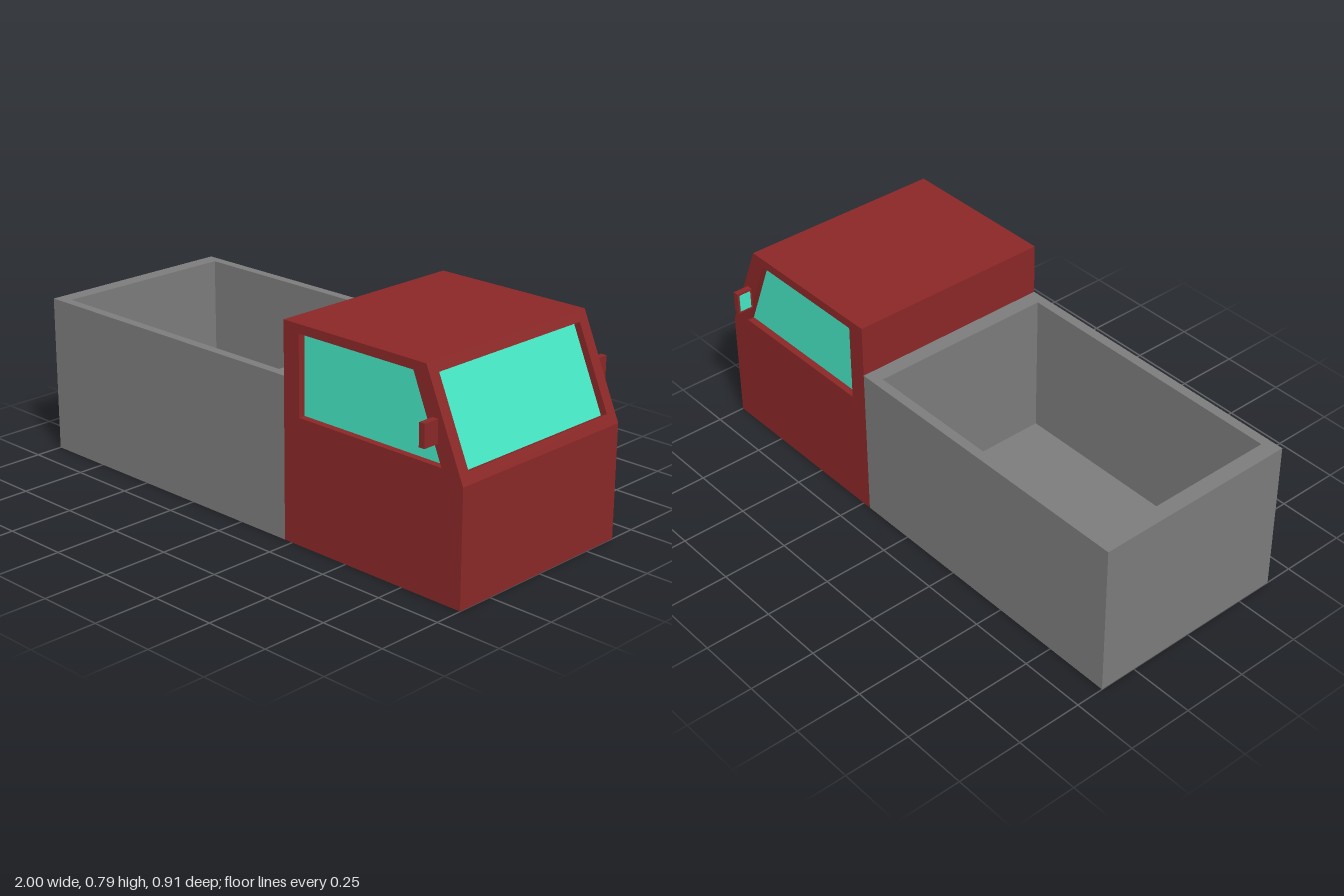
import * as THREE from 'three';

const HALF = 0.393;   // half width of the body
const INSET = 0.03;   // how deep the windows sit
const GLASS = 0.004;  // glass plate thickness

function polygon(points) {
  return new THREE.Shape(points.map(([x, y]) => new THREE.Vector2(x, y)));
}

function rect(x0, y0, x1, y1) {
  return [[x0, y0], [x1, y0], [x1, y1], [x0, y1]];
}

// Extrude an outline, optionally with a hole, starting at depth z
function plate(name, material, outline, hole, depth, z = 0) {
  const shape = polygon(outline);
  if (hole) shape.holes.push(polygon(hole));
  const geometry = new THREE.ExtrudeGeometry(shape, { depth, bevelEnabled: false });
  geometry.translate(0, 0, z);
  const mesh = new THREE.Mesh(geometry, material);
  mesh.name = name;
  return mesh;
}

function box(name, material, [x0, x1], [y0, y1], [z0, z1]) {
  const mesh = new THREE.Mesh(new THREE.BoxGeometry(x1 - x0, y1 - y0, z1 - z0), material);
  mesh.position.set((x0 + x1) / 2, (y0 + y1) / 2, (z0 + z1) / 2);
  mesh.name = name;
  return mesh;
}

export function createModel() {
  const red = new THREE.MeshStandardMaterial({ color: 0x8b2727 });
  const grey = new THREE.MeshStandardMaterial({ color: 0x7c7c7c });
  const teal = new THREE.MeshStandardMaterial({ color: 0x45e6c3 });
  red.name = 'cabRed';
  grey.name = 'bedGrey';
  teal.name = 'glassTeal';

  const model = new THREE.Group();
  model.name = 'truck';

  // Open cargo bed: four walls and a floor
  const bed = new THREE.Group();
  bed.name = 'cargoBed';
  const walls = plate('bedWalls', grey, rect(-1, -HALF, 0.215, HALF),
    rect(-0.94, -0.357, 0.155, 0.357), 0.59);
  walls.rotation.x = -Math.PI / 2;
  bed.add(walls, box('bedFloor', grey, [-0.94, 0.155], [0, 0.04], [-0.357, 0.357]));
  model.add(bed);

  // Cab side profile and the slope of its windscreen
  const cab = new THREE.Group();
  cab.name = 'cab';
  const base = [1, 0.42], top = [0.84, 0.785];
  const slope = Math.hypot(base[0] - top[0], top[1] - base[1]);
  const nx = (top[1] - base[1]) / slope, ny = (base[0] - top[0]) / slope;
  const inward = ([x, y]) => [x - nx * INSET, y - ny * INSET];
  const profile = [[0.215, 0], [1, 0], base, top, [0.215, 0.785]];
  const core = [[0.215, 0], [1, 0], base, inward(base), inward(top), top, [0.215, 0.785]];
  const sideWindow = [[0.285, 0.46], [0.91, 0.46], [0.787, 0.752], [0.285, 0.752]];
  const inner = HALF - INSET;
  cab.add(plate('cabCore', red, core, null, 2 * inner, -inner));

  // Side panels with recessed windows
  cab.add(plate('leftPanel', red, profile, sideWindow, INSET, inner));
  cab.add(plate('rightPanel', red, profile, sideWindow, INSET, -HALF));
  cab.add(plate('leftWindow', teal, sideWindow, null, GLASS, inner));
  cab.add(plate('rightWindow', teal, sideWindow, null, GLASS, -inner - GLASS));

  // Sloping windscreen frame and glass
  const windscreen = new THREE.Group();
  windscreen.name = 'windscreen';
  const opening = rect(-0.35, 0.042, 0.35, 0.361);
  windscreen.add(plate('windscreenFrame', red, rect(-inner, 0, inner, slope), opening, INSET, -INSET));
  windscreen.add(plate('windscreenGlass', teal, opening, null, GLASS, -INSET));
  windscreen.quaternion.setFromRotationMatrix(new THREE.Matrix4().makeBasis(
    new THREE.Vector3(0, 0, -1), new THREE.Vector3(-ny, nx, 0), new THREE.Vector3(nx, ny, 0)));
  windscreen.position.set(base[0], base[1], 0);
  cab.add(windscreen);

  // Door mirrors with glass facing the rear
  for (const side of [1, -1]) {
    const mirror = new THREE.Group();
    mirror.name = side > 0 ? 'leftMirror' : 'rightMirror';
    const span = (a, b) => (side > 0 ? [a, b] : [-b, -a]);
    mirror.add(box('mirrorHousing', red, [0.87, 0.893], [0.535, 0.618], span(HALF, 0.455)));
    mirror.add(box('mirrorGlass', teal, [0.868, 0.871], [0.543, 0.61], span(0.401, 0.447)));
    cab.add(mirror);
  }
  model.add(cab);
  return model;
}
